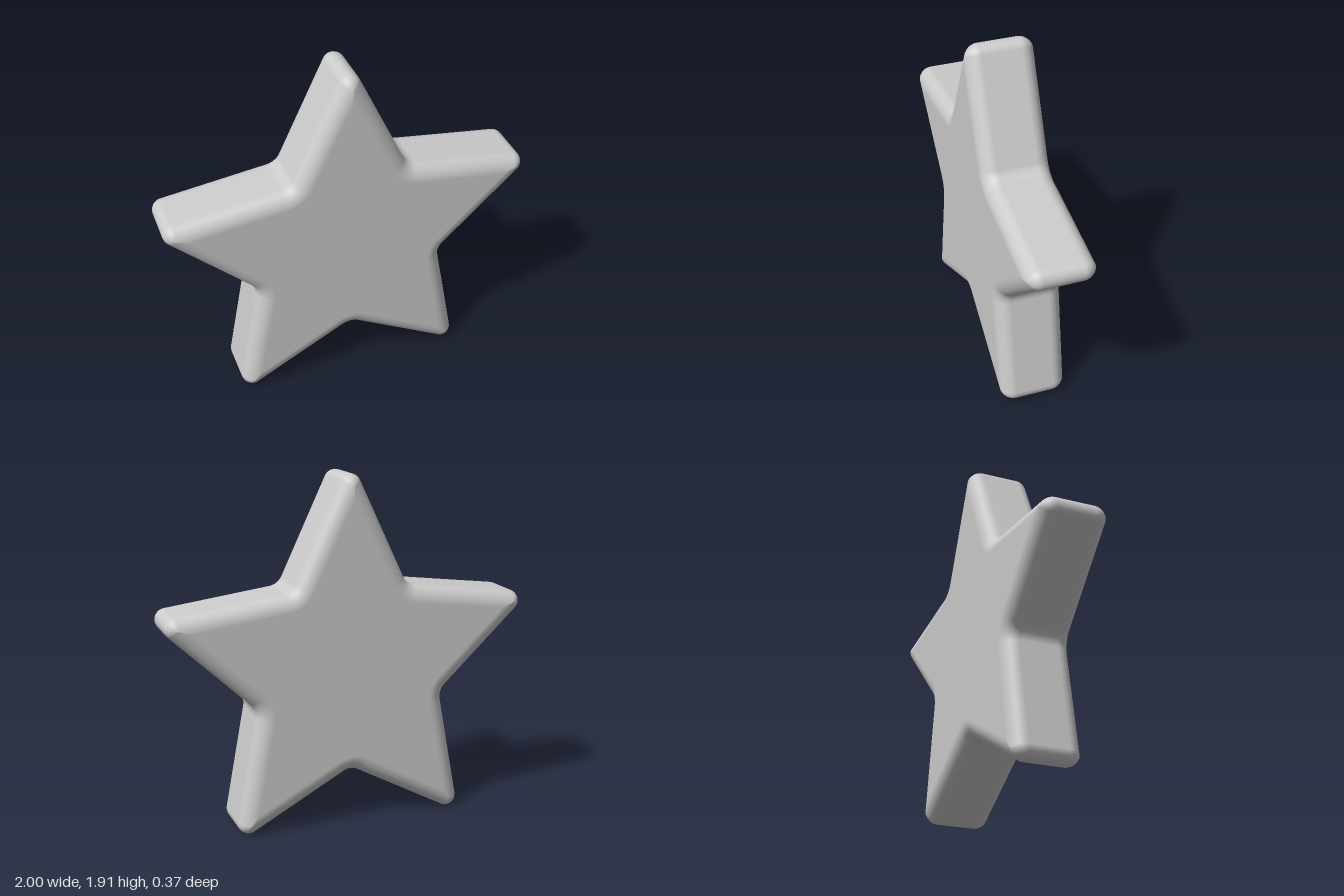
import * as THREE from 'three';

const RAD = Math.PI / 180;
const CENTRE_Y = 0.859, HALF_DEPTH = 0.185;
const TIP_DIST = 0.988, TIP_RADIUS = 0.06;   // rounded points
const HALF_ANGLE = 25.4 * RAD;               // half the opening of each point
const VALLEY_RADIUS = 0.085;                 // fillet between the points
const BEVEL = 0.09, BEVEL_DEPTH = 0.08;      // rounded rim, front and back

// Outline moved inwards by d: list of [x, y, normal angle], counter-clockwise
function outline(d) {
  const points = [], steps = 12, spread = Math.PI / 2 - HALF_ANGLE;
  const tip = TIP_DIST - Math.max(0, d - TIP_RADIUS) / Math.sin(HALF_ANGLE);
  const tipR = Math.max(0, TIP_RADIUS - d);
  // where two neighbouring edges would meet if the valley were sharp
  const edge = TIP_DIST * Math.sin(HALF_ANGLE) + TIP_RADIUS;
  const halfTurn = spread - 36 * RAD;
  const valley = (edge + VALLEY_RADIUS) / Math.cos(halfTurn);
  const arc = (axis, dist, radius, from, to) => {
    for (let s = 0; s <= steps; s++) {
      const a = axis + from + (to - from) * s / steps;
      points.push([
        Math.cos(axis) * dist + Math.cos(a) * radius,
        Math.sin(axis) * dist + Math.sin(a) * radius, a]);
    }
  };
  for (let k = 0; k < 5; k++) {
    const axis = (90 + 72 * k) * RAD;
    arc(axis, tip, tipR, -spread, spread);
    arc(axis + 36 * RAD, valley, -(VALLEY_RADIUS + d), halfTurn, -halfTurn);
  }
  return points;
}

function starGeometry() {
  const pos = [], nor = [], index = [], steps = 10;
  // rim profile from the front face round to the back face
  const rings = [];
  for (let i = 0; i <= steps; i++) rings.push([90 * (1 - i / steps) * RAD, 1]);
  for (let i = 0; i <= steps; i++) rings.push([-90 * i / steps * RAD, -1]);

  let count = 0;
  for (const [phi, side] of rings) {
    const z = side * (HALF_DEPTH - BEVEL_DEPTH) + Math.sin(phi) * BEVEL_DEPTH;
    const normal = new THREE.Vector2(Math.cos(phi) / BEVEL, Math.sin(phi) / BEVEL_DEPTH).normalize();
    const loop = outline(BEVEL * (1 - Math.cos(phi)));
    count = loop.length;
    for (const [x, y, a] of loop) {
      pos.push(x, y, z);
      nor.push(Math.cos(a) * normal.x, Math.sin(a) * normal.x, normal.y);
    }
  }
  // flat faces fan out from a middle point
  const front = pos.length / 3, back = front + 1, last = (rings.length - 1) * count;
  pos.push(0, 0, HALF_DEPTH, 0, 0, -HALF_DEPTH);
  nor.push(0, 0, 1, 0, 0, -1);
  for (let j = 0; j < count; j++) {
    const n = (j + 1) % count;
    for (let i = 0; i < rings.length - 1; i++) {
      const a = i * count + j, b = i * count + n;
      index.push(a, a + count, b, b, a + count, b + count);
    }
    index.push(front, j, n, back, last + n, last + j);
  }
  const geometry = new THREE.BufferGeometry();
  geometry.setAttribute('position', new THREE.Float32BufferAttribute(pos, 3));
  geometry.setAttribute('normal', new THREE.Float32BufferAttribute(nor, 3));
  geometry.setIndex(index);
  return geometry;
}

export function createModel() {
  const group = new THREE.Group();
  group.name = 'star';
  const material = new THREE.MeshStandardMaterial({ color: 0xcccccc });
  material.name = 'light grey';
  const body = new THREE.Mesh(starGeometry(), material);
  body.name = 'starBody';
  body.position.y = CENTRE_Y;
  group.add(body);
  return group;
}
